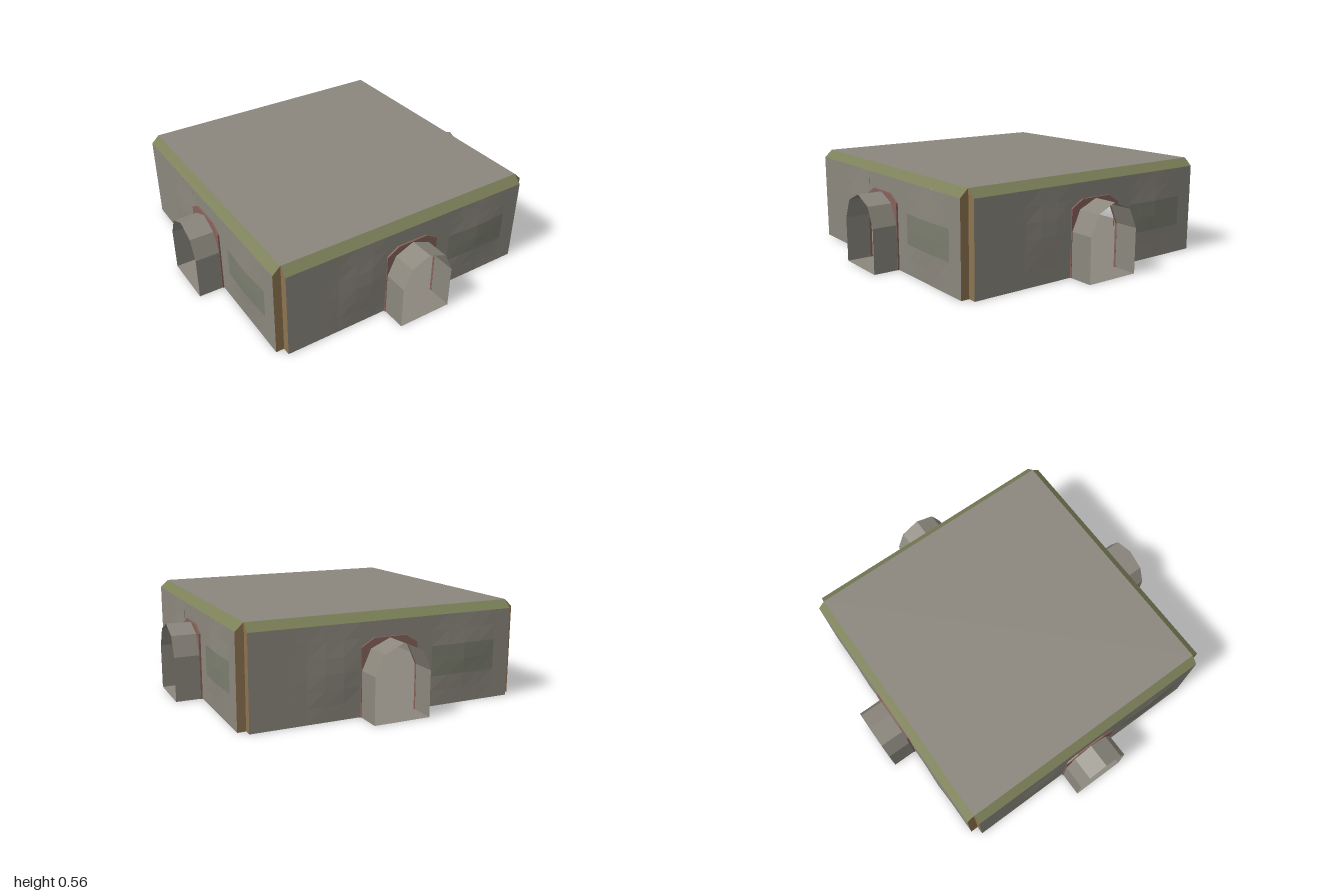
import * as THREE from 'three';

const mat = (name, color) => {
  const m = new THREE.MeshStandardMaterial({ color, side: THREE.DoubleSide, flatShading: true });
  m.name = name;
  return m;
};

const IN = 0.797, OUT = 0.845, EAVE = 0.52, TOP = 0.565, END = 1.0, HALF = 0.167;

// Half outlines, mirrored across x = 0
const mirror = (pts) => [...pts, ...pts.filter((p) => p[0] !== 0).reverse().map(([x, y]) => [-x, y])];
const tunnelOutline = mirror([[HALF, 0], [HALF, 0.26], [0.115, 0.375], [0, 0.425]]);
const trimOutline = mirror([[0.171, 0], [0.171, 0.385], [0.095, 0.43]]);

const toShape = (pts) => new THREE.Shape(pts.map(([x, y]) => new THREE.Vector2(x, y)));

// Flat polygon in space, fanned from its first corner
function face(pts) {
  const pos = [];
  for (let i = 1; i < pts.length - 1; i++) pos.push(...pts[0], ...pts[i], ...pts[i + 1]);
  const g = new THREE.BufferGeometry();
  g.setAttribute('position', new THREE.Float32BufferAttribute(pos, 3));
  g.computeVertexNormals();
  return g;
}

// Open strip swept along z from an outline
function sweep(outline, z0, z1) {
  const pos = [];
  for (let i = 0; i < outline.length - 1; i++) {
    const [a, b] = [outline[i], outline[i + 1]];
    pos.push(...a, z1, ...a, z0, ...b, z0, ...a, z1, ...b, z0, ...b, z1);
  }
  const g = new THREE.BufferGeometry();
  g.setAttribute('position', new THREE.Float32BufferAttribute(pos, 3));
  g.computeVertexNormals();
  return g;
}

// Wall half beside the doorway, with a shallow bulge in the masonry
function wallHalf(side, bulgeX) {
  const w = IN - HALF;
  const g = new THREE.PlaneGeometry(w, EAVE, 6, 6);
  g.translate(side * (HALF + w / 2), EAVE / 2, OUT);
  const p = g.attributes.position;
  const hump = (d, r) => (Math.abs(d) < r ? 0.5 + 0.5 * Math.cos((Math.PI * d) / r) : 0);
  for (let i = 0; i < p.count; i++) {
    p.setZ(i, OUT + 0.011 * hump(p.getX(i) - bulgeX, 0.24) * hump(p.getY(i) - 0.27, 0.27));
  }
  g.computeVertexNormals();
  return g;
}

export function createModel() {
  const stone = mat('stone', 0x8b877d);
  const moss = mat('mossyStone', 0x7b7d6e);
  const green = mat('roofEdgeGreen', 0x7b8059);
  const brown = mat('cornerBrown', 0x8d7350);
  const red = mat('archRed', 0x86625a);

  const model = new THREE.Group();
  model.name = 'chamber';
  const add = (parent, name, geometry, material) => {
    const m = new THREE.Mesh(geometry, material);
    m.name = name;
    parent.add(m);
    return m;
  };

  // Ceiling slab and floor
  add(model, 'ceiling', face([[-IN, TOP, IN], [IN, TOP, IN], [IN, TOP, -IN], [-IN, TOP, -IN]]), stone);
  add(model, 'floor', face([[-IN, 0, -IN], [IN, 0, -IN], [IN, 0, IN], [-IN, 0, IN]]), stone);

  // Four identical sides
  for (let k = 0; k < 4; k++) {
    const side = new THREE.Group();
    side.name = ['frontSide', 'leftSide', 'backSide', 'rightSide'][k];
    side.rotation.y = (k * Math.PI) / 2;
    model.add(side);

    // Masonry wall, with a mossy patch on one half
    add(side, 'wallPlain', wallHalf(-1, -0.3), stone);
    const patched = wallHalf(1, 0.48);
    const n = 36;
    patched.clearGroups();
    patched.addGroup(0, 2 * n + 6, 0);
    patched.addGroup(2 * n + 6, 24, 1);
    patched.addGroup(2 * n + 30, 12, 0);
    patched.addGroup(3 * n + 6, 24, 1);
    patched.addGroup(3 * n + 30, 3 * n - 30, 0);
    add(side, 'wallPatched', patched, [stone, moss]);
    const lintel = new THREE.ShapeGeometry(toShape([
      [-HALF, EAVE], [-HALF, 0.385], [-0.095, 0.43], [0.095, 0.43], [HALF, 0.385], [HALF, EAVE],
    ]));
    lintel.translate(0, 0, OUT);
    add(side, 'lintel', lintel, stone);

    // Sloped roof edge
    add(side, 'roofEdge', face([[-IN, EAVE, OUT], [IN, EAVE, OUT], [IN, TOP, IN], [-IN, TOP, IN]]), green);

    // Wall ends forming the notched corners
    for (const s of [1, -1]) {
      const end = [[s * IN, 0, OUT], [s * IN, 0, IN], [s * IN, TOP, IN], [s * IN, EAVE, OUT]];
      add(side, 'cornerEnd', face(s > 0 ? end : end.reverse()), brown);
    }

    // Trim around the doorway
    const trimShape = toShape([...trimOutline, ...[...tunnelOutline].reverse().map(([x, y]) => [x * 0.995, y])]);
    const trim = new THREE.ExtrudeGeometry(trimShape, { depth: 0.013, bevelEnabled: false });
    trim.translate(0, 0, 0.842);
    add(side, 'archTrim', trim, red);

    // Passage stub and the floor beneath it
    add(side, 'passage', sweep(tunnelOutline, OUT, END), stone);
    add(side, 'wallFooting', face([[-IN, 0, IN], [IN, 0, IN], [IN, 0, OUT], [-IN, 0, OUT]]), stone);
    add(side, 'passageFloor', face([[-HALF, 0, OUT], [HALF, 0, OUT], [HALF, 0, END], [-HALF, 0, END]]), stone);
  }
  return model;
}
